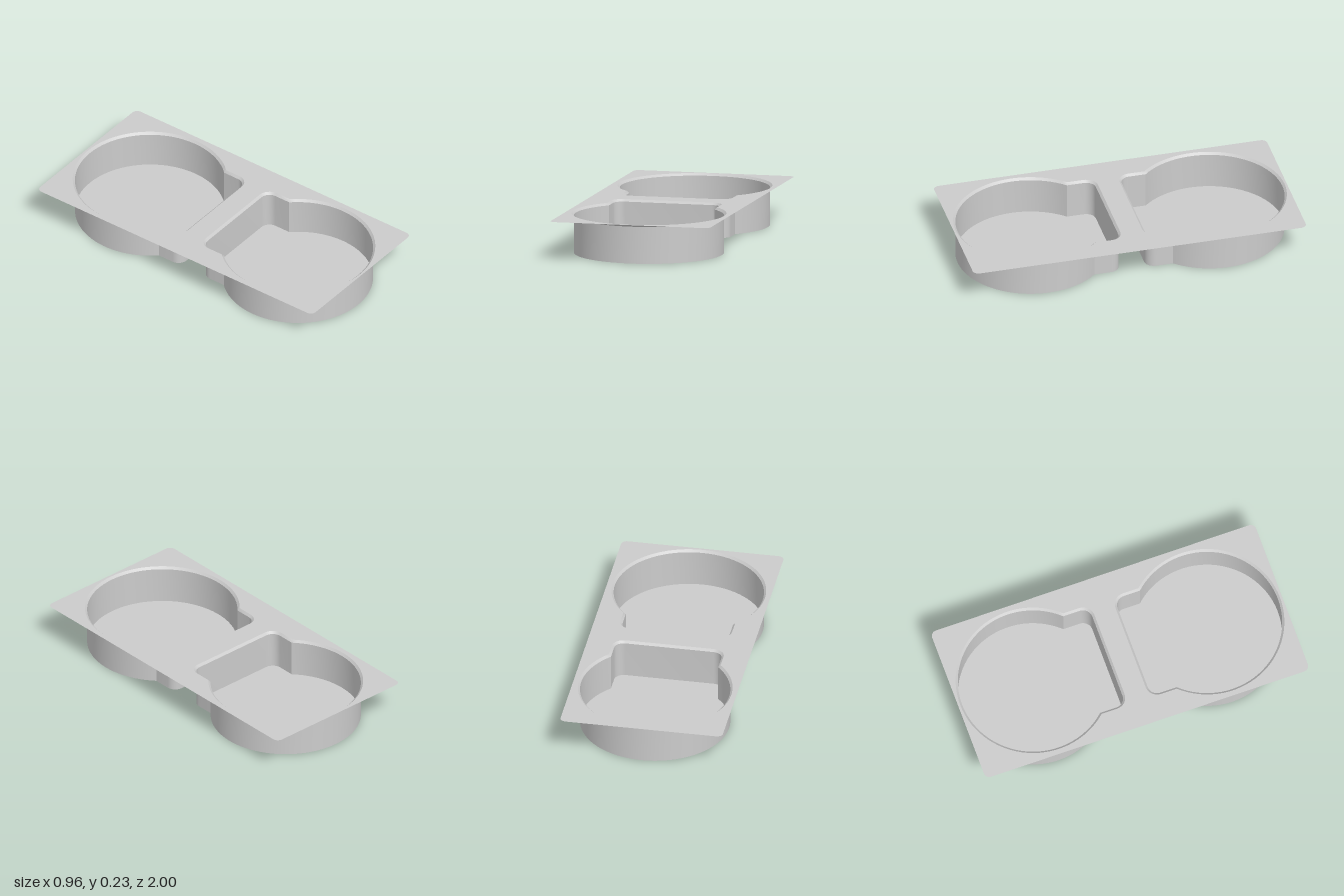
import * as THREE from 'three';
import { toCreasedNormals } from 'three/addons/utils/BufferGeometryUtils.js';

const TOP = 0.23, CHAMFER = 0.013;

// Keyhole outline: a large circle with a rounded rectangular neck, inset by d
function outline(d) {
  const r = 0.45 - d, half = 0.33 - d, end = 0.065 + d, corner = 0.07 - d, cy = 0.537;
  const pts = [];
  const arc = (x, y, rad, a0, a1, n) => {
    for (let i = 0; i <= n; i++) {
      const a = a0 + (a1 - a0) * i / n;
      pts.push(new THREE.Vector2(x + rad * Math.cos(a), y + rad * Math.sin(a)));
    }
  };
  const join = Math.acos(half / r);
  arc(0, cy, r, -join, Math.PI + join, 60);
  arc(-half + corner, end + corner, corner, Math.PI, Math.PI * 1.5, 8);
  arc(half - corner, end + corner, corner, -Math.PI / 2, 0, 8);
  return pts;
}

// Band of quads joining equal-length outlines at successive heights
function band(rings) {
  const pos = [], idx = [], n = rings[0].pts.length;
  for (const { pts, y } of rings) for (const p of pts) pos.push(p.x, y, -p.y);
  for (let k = 0; k < rings.length - 1; k++) {
    for (let i = 0; i < n; i++) {
      const a = k * n + i, b = k * n + (i + 1) % n;
      idx.push(a, b, b + n, a, b + n, a + n);
    }
  }
  const g = new THREE.BufferGeometry();
  g.setAttribute('position', new THREE.Float32BufferAttribute(pos, 3));
  g.setIndex(idx);
  return toCreasedNormals(g, Math.PI / 6);
}

export function createModel() {
  const model = new THREE.Group();
  model.name = 'twinTray';
  const material = new THREE.MeshStandardMaterial({ color: 0xcccccc, side: THREE.DoubleSide });
  const add = (parent, name, geometry) => {
    const mesh = new THREE.Mesh(geometry, material);
    mesh.name = name;
    parent.add(mesh);
  };
  const rim = outline(0), base = outline(CHAMFER);

  // Thin top plate with rounded corners and two keyhole openings
  const w = 0.48, h = 1, c = 0.035;
  const plate = new THREE.Shape();
  plate.absarc(w - c, h - c, c, 0, Math.PI / 2);
  plate.absarc(-w + c, h - c, c, Math.PI / 2, Math.PI);
  plate.absarc(-w + c, -h + c, c, Math.PI, Math.PI * 1.5);
  plate.absarc(w - c, -h + c, c, Math.PI * 1.5, Math.PI * 2);
  plate.closePath();
  for (const s of [1, -1]) {
    plate.holes.push(new THREE.Path(rim.map(p => new THREE.Vector2(p.x * s, p.y * s))));
  }
  add(model, 'topPlate', new THREE.ShapeGeometry(plate, 6).rotateX(-Math.PI / 2).translate(0, TOP, 0));

  // Two matching wells, necks facing each other
  const wall = band([
    { pts: base, y: 0 },
    { pts: base, y: TOP - CHAMFER },
    { pts: rim, y: TOP },
  ]);
  const floor = new THREE.ShapeGeometry(new THREE.Shape(base)).rotateX(-Math.PI / 2);
  for (const [name, turn] of [['backWell', 0], ['frontWell', Math.PI]]) {
    const well = new THREE.Group();
    well.name = name;
    well.rotation.y = turn;
    add(well, 'wellWall', wall);
    add(well, 'wellFloor', floor);
    model.add(well);
  }
  return model;
}
